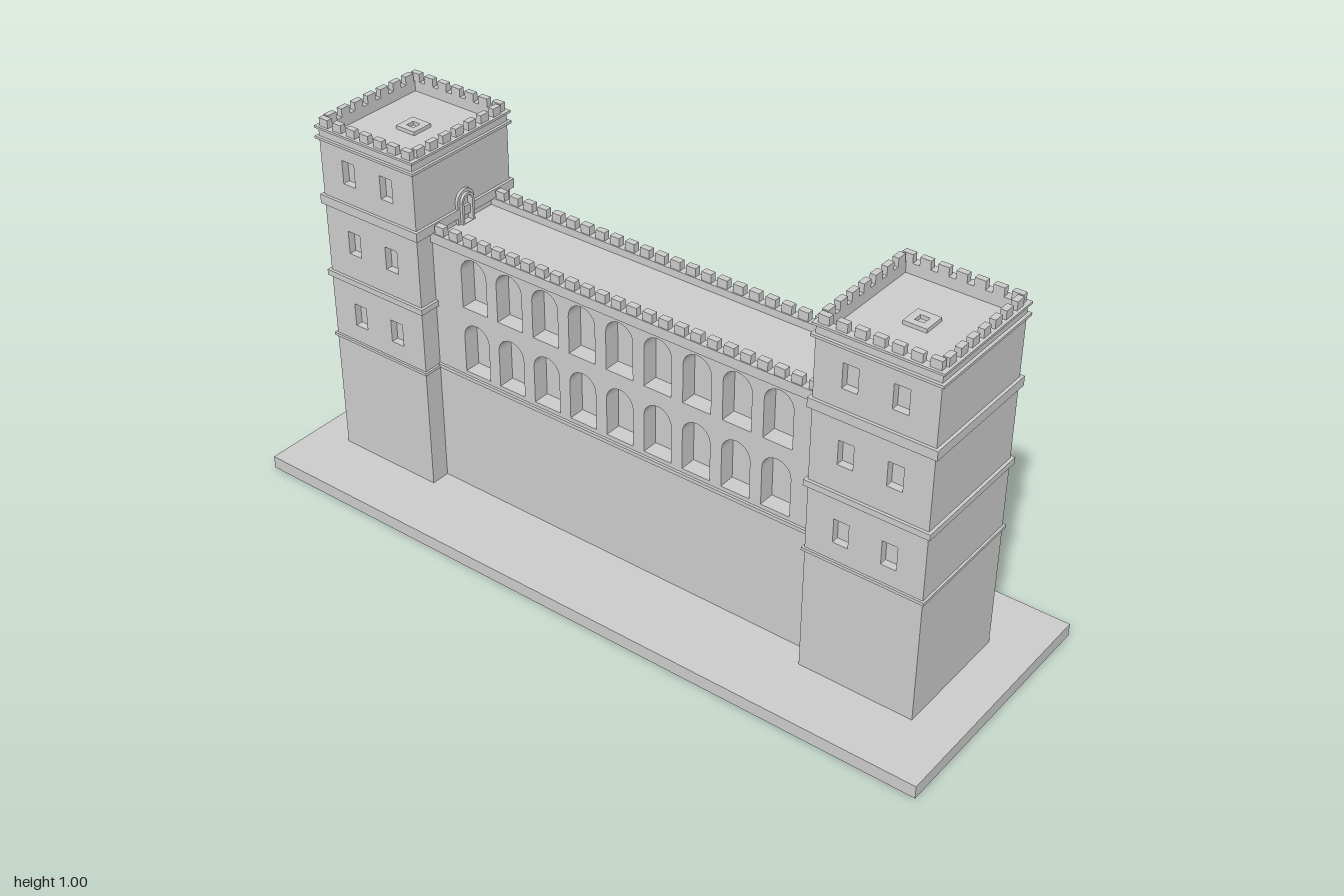
import * as THREE from 'three';

const stone = new THREE.MeshStandardMaterial({ color: 0xcccccc });

function add(parent, name, geometry, x = 0, y = 0, z = 0) {
  const mesh = new THREE.Mesh(geometry, stone);
  mesh.name = name;
  mesh.position.set(x, y, z);
  parent.add(mesh);
  return mesh;
}

// Box given by its bottom height and top height
function block(parent, name, w, y0, y1, d, x = 0, z = 0) {
  return add(parent, name, new THREE.BoxGeometry(w, y1 - y0, d), x, (y0 + y1) / 2, z);
}

function group(parent, name) {
  const g = new THREE.Group();
  g.name = name;
  parent.add(g);
  return g;
}

function trace(path, points) {
  path.setFromPoints(points.map(([x, y]) => new THREE.Vector2(x, y)));
  path.closePath();
  return path;
}

const rect = (path, x, w, y0, y1) =>
  trace(path, [[x - w / 2, y0], [x + w / 2, y0], [x + w / 2, y1], [x - w / 2, y1]]);

// Round-headed outline
function arch(path, x, w, y0, y1) {
  const r = w / 2, points = [[x - r, y0], [x + r, y0]];
  for (let i = 0; i <= 12; i++) {
    const a = (Math.PI * i) / 12;
    points.push([x + r * Math.cos(a), y1 - r + r * Math.sin(a)]);
  }
  return trace(path, points);
}

const extrude = (shape, depth) => new THREE.ExtrudeGeometry(shape, { depth, bevelEnabled: false });

// Hollow rectangular rim
function rim(parent, name, w, d, y0, y1, t) {
  const shape = rect(new THREE.Shape(), 0, w, -d / 2, d / 2);
  shape.holes.push(rect(new THREE.Path(), 0, w - 2 * t, -d / 2 + t, d / 2 - t));
  const mesh = add(parent, name, extrude(shape, y1 - y0), 0, y0, 0);
  mesh.rotation.x = -Math.PI / 2;
}

// Stepped arched door surround with an open middle, facing +z
function doorway(parent, name, w, y0, y1, depth) {
  const g = group(parent, name);
  [[w, y1, depth / 2], [w - 0.016, y1 - 0.008, depth]].forEach(([width, top, d]) => {
    const shape = arch(new THREE.Shape(), 0, width, y0, top);
    shape.holes.push(arch(new THREE.Path(), 0, w - 0.03, y0 + 0.001, y1 - 0.015));
    add(g, 'doorSurround', extrude(shape, d));
  });
  return g;
}

const BASE = 0.035, MID = -0.0075;
const TW = 0.31, TD = 0.342, ROOF = 0.95, RECESS = 0.02;

function tower(parent, name, x, inward) {
  const t = group(parent, name);
  t.position.x = x;
  block(t, 'towerCore', TW, BASE, ROOF, TD - 2 * RECESS);

  // Front and back faces with recessed windows
  for (const side of [1, -1]) {
    const face = group(t, side > 0 ? 'frontFace' : 'backFace');
    face.rotation.y = side > 0 ? 0 : Math.PI;
    const shape = rect(new THREE.Shape(), 0, TW, BASE, ROOF);
    const floors = side > 0 ? [0.43, 0.642, 0.84] : [0.642, 0.84];
    for (const y of floors) for (const wx of [-0.063, 0.063]) {
      shape.holes.push(rect(new THREE.Path(), wx, 0.04, y, y + 0.064));
    }
    add(face, 'windowedWall', extrude(shape, RECESS), 0, 0, TD / 2 - RECESS);
  }

  // String courses
  for (const [y0, y1, out] of [[0.374, 0.382, 0.006], [0.555, 0.571, 0.008],
    [0.763, 0.788, 0.008], [0.943, 0.95, 0.008]]) {
    block(t, 'stringCourse', TW + 2 * out, y0, y1, TD + 2 * out);
  }

  // Parapet, coping and battlements
  rim(t, 'parapet', TW, TD, ROOF, 0.972, 0.016);
  rim(t, 'coping', TW + 0.014, TD + 0.014, 0.972, 0.978, 0.023);
  for (let i = -3; i <= 3; i++) for (const s of [-1, 1]) {
    block(t, 'merlon', 0.028, 0.978, 1, 0.016, i * 0.0455, s * (TD / 2 - 0.008));
    block(t, 'merlon', 0.016, 0.978, 1, 0.028, s * (TW / 2 - 0.008), i * 0.0455);
  }
  rim(t, 'roofHatch', 0.06, 0.06, ROOF, 0.96, 0.018);

  // Ground door at the back, and the door onto the gallery roof
  const back = doorway(t, 'backDoor', 0.08, BASE, 0.17, 0.02);
  back.rotation.y = Math.PI;
  back.position.z = -TD / 2;
  const inner = doorway(t, 'roofDoor', 0.06, 0.745, 0.835, 0.016);
  inner.rotation.y = (inward * Math.PI) / 2;
  inner.position.x = (inward * TW) / 2;
}

function gallery(parent) {
  const g = group(parent, 'gallery');
  g.position.x = MID;
  const W = 1.16, D = 0.236, depth = 0.045, top = 0.745;
  block(g, 'galleryCore', W, BASE, top, D - 2 * depth);
  block(g, 'lowerString', W, 0.375, 0.385, D + 0.014);

  for (const side of [1, -1]) {
    const half = group(g, side > 0 ? 'frontArcade' : 'backArcade');
    half.rotation.y = side > 0 ? 0 : Math.PI;

    // Two tiers of nine arched recesses
    const shape = rect(new THREE.Shape(), 0, W, BASE, top);
    for (let i = -4; i <= 4; i++) for (const y of [0.396, 0.583]) {
      shape.holes.push(arch(new THREE.Path(), i * 0.113 + side * 0.006, 0.08, y, y + 0.145));
    }
    add(half, 'arcadeWall', extrude(shape, depth), 0, 0, D / 2 - depth);

    // Parapet and battlements
    block(half, 'galleryParapet', W, 0.738, 0.765, 0.024, 0, D / 2 - 0.006);
    for (let i = -12; i <= 12; i++) {
      block(half, 'galleryMerlon', 0.028, 0.765, 0.788, 0.018, i * 0.0458, D / 2 - 0.006);
    }
  }
}

export function createModel() {
  const model = new THREE.Group();
  model.name = 'twinTowerCastle';
  block(model, 'base', 2, 0, BASE, 0.69);
  gallery(model);
  tower(model, 'rightTower', MID - 0.7325, 1);
  tower(model, 'leftTower', MID + 0.7325, -1);
  return model;
}
